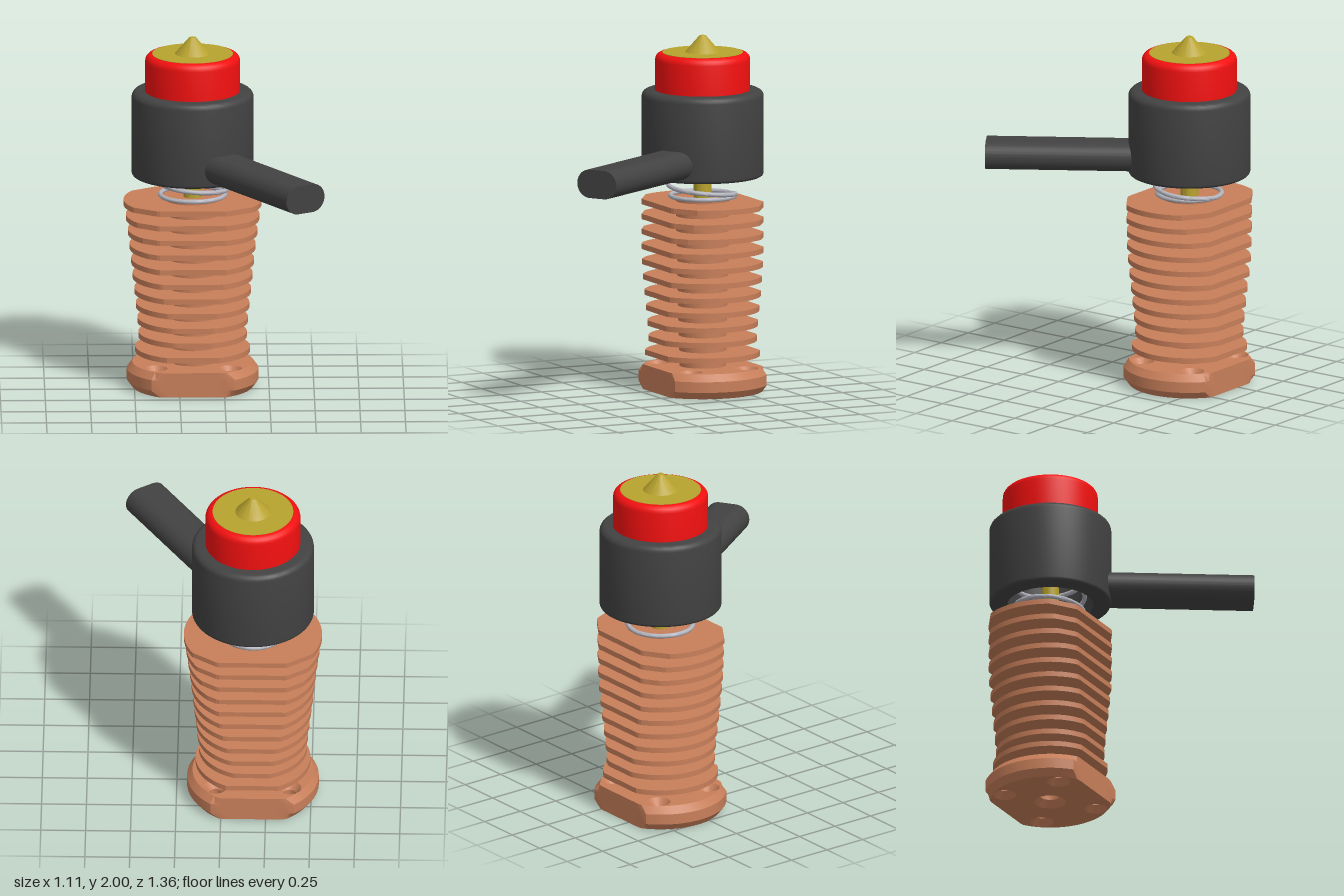
import * as THREE from 'three';
import { toCreasedNormals } from 'three/addons/utils/BufferGeometryUtils.js';

const FLAT = 0.285; // half depth of the two flats on base and fins

const mat = (color) => new THREE.MeshStandardMaterial({ color });

export function createModel() {
  const copper = mat(0xc87f5a), dark = mat(0x424242), red = mat(0xf21010);
  const brass = mat(0xb8a32e), steel = mat(0xb4b4be);

  const model = new THREE.Group();
  const tower = new THREE.Group();
  tower.name = 'tower';
  tower.position.set(-0.175, 0, -0.34);
  model.add(tower);

  const add = (name, geometry, material, crease = 0.45) => {
    const mesh = new THREE.Mesh(toCreasedNormals(geometry, crease), material);
    mesh.name = name;
    tower.add(mesh);
    return mesh;
  };
  const lathe = (name, points, material, segments = 64) =>
    add(name, new THREE.LatheGeometry(points.map(([x, y]) => new THREE.Vector2(x, y)), segments), material);
  // quarter-round profile corner, from angle a0 to a1
  const corner = (cx, cy, r, a0, a1) => Array.from({ length: 6 }, (_, i) => {
    const a = a0 + (a1 - a0) * i / 5;
    return [cx + r * Math.cos(a), cy + r * Math.sin(a)];
  });
  const hole = (x, y, r) => new THREE.Path().absarc(x, y, r, 0, Math.PI * 2, true);

  // Base flange: bevelled disc with countersunk holes, clamped to two flats
  const disc = new THREE.Shape().absarc(0, 0, 0.367, 0, Math.PI * 2, false);
  disc.holes.push(hole(0, 0, 0.058));
  for (const sx of [-1, 1]) for (const sz of [-1, 1]) disc.holes.push(hole(sx * 0.207, sz * 0.174, 0.035));
  const base = new THREE.ExtrudeGeometry(disc, {
    depth: 0.06, curveSegments: 32, bevelEnabled: true,
    bevelThickness: 0.04, bevelSize: 0.03, bevelOffset: -0.03, bevelSegments: 1,
  });
  base.rotateX(-Math.PI / 2).translate(0, 0.04, 0);
  const p = base.attributes.position;
  for (let i = 0; i < p.count; i++) p.setZ(i, THREE.MathUtils.clamp(p.getZ(i), -FLAT, FLAT));
  add('baseFlange', base, copper);

  // Tapered core with a blind bore
  lathe('core', [[0, 1.0], [0.06, 1.0], [0.06, 0.1], [0.13, 0.1], [0.13, 0.14], [0.152, 1.085], [0, 1.085]], copper, 48);

  // Cooling fins: circles trimmed by front and back flats and corner chamfers
  const finRadii = [0.32, 0.302, 0.308, 0.316, 0.325, 0.334, 0.342, 0.351, 0.361, 0.372, 0.385];
  finRadii.forEach((r, i) => {
    const outline = [];
    for (let k = 0; k < 120; k++) {
      const a = k * Math.PI / 60, c = Math.abs(Math.cos(a)), s = Math.abs(Math.sin(a));
      const d = Math.min(r, FLAT / Math.max(s, 1e-6), 0.345 / (0.56 * c + 0.83 * s));
      outline.push(new THREE.Vector2(d * Math.cos(a), d * Math.sin(a)));
    }
    const shape = new THREE.Shape(outline);
    shape.holes.push(hole(0, 0, 0.11));
    const fin = new THREE.ExtrudeGeometry(shape, { depth: 0.03, bevelEnabled: false });
    fin.rotateX(-Math.PI / 2).translate(0, 0.197 + i * 0.0843, 0);
    add('fin' + (i + 1), fin, copper, 0.25);
  });

  // Rod between the core and the head
  add('rod', new THREE.CylinderGeometry(0.05, 0.05, 0.5, 32).translate(0, 1.28, 0), brass);

  // Spring: one closed turn, then rising into the head
  const coil = [];
  const turn = Math.PI * 2;
  for (let t = -turn; t <= turn * 2.5; t += turn / 24) {
    const r = 0.18 + 0.012 * THREE.MathUtils.clamp(t / 1.5, 0, 1);
    coil.push(new THREE.Vector3(r * Math.sin(t), 1.098 + 0.115 * Math.max(t, 0) / turn, -r * Math.cos(t)));
  }
  add('spring', new THREE.TubeGeometry(new THREE.CatmullRomCurve3(coil), 240, 0.013, 10), steel, 1);

  // Head collar, hollow underneath
  const q = Math.PI / 2;
  lathe('collar', [
    [0, 1.48], [0.24, 1.48], [0.24, 1.21],
    ...corner(0.32, 1.23, 0.02, -q, 0),
    ...corner(0.305, 1.66, 0.035, 0, q), [0, 1.695],
  ], dark);

  // Red cap with rounded rim
  lathe('cap', [[0, 1.65], [0.265, 1.65], ...corner(0.225, 1.865, 0.04, 0, q), [0, 1.905]], red);

  // Brass face and nozzle
  add('face', new THREE.CylinderGeometry(0.225, 0.225, 0.02, 64).translate(0, 1.897, 0), brass);
  lathe('nozzle', [[0.098, 1.9], [0.098, 1.907], [0.028, 1.988], [0.018, 2.0], [0, 2.0]], brass, 48);

  // Handle: rounded bar pointing forward and to the left
  const hw = 0.127, hr = 0.08;
  const bar = new THREE.Shape();
  bar.absarc(hw - hr, 0, hr, -q, q, false);
  bar.absarc(-hw + hr, 0, hr, q, 3 * q, false);
  const handle = new THREE.ExtrudeGeometry(bar, { depth: 0.834, bevelEnabled: false, curveSegments: 20 });
  handle.translate(0, 1.31, 0.3).rotateY(0.575);
  add('handle', handle, dark);

  return model;
}
